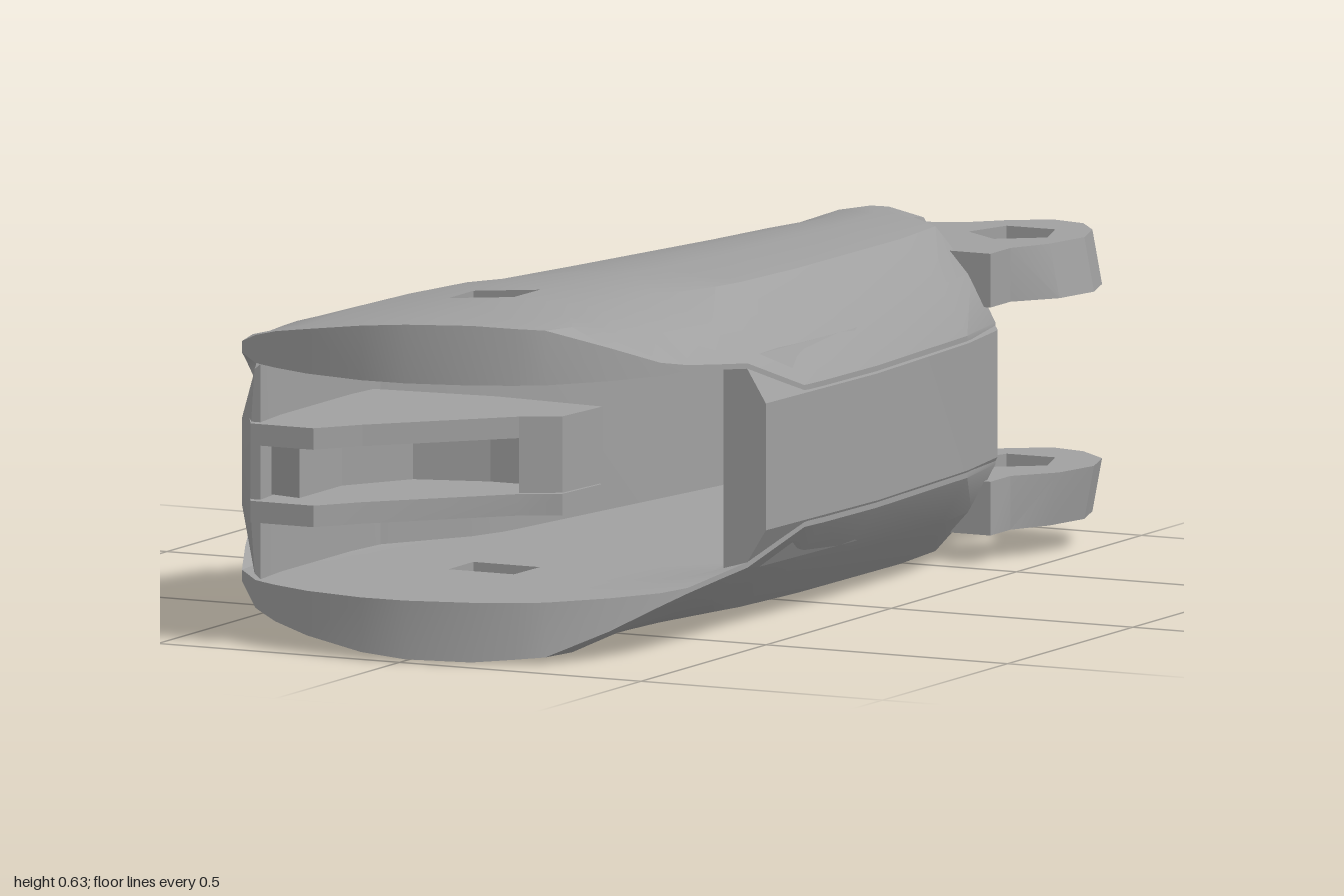
import * as THREE from 'three';
import { toCreasedNormals } from 'three/addons/utils/BufferGeometryUtils.js';

const MID = 0.318; // height of the mirror plane between upper and lower halves

// piecewise linear lookup in [[key, value], ...]
function lookup(table, k) {
  if (k <= table[0][0]) return table[0][1];
  for (let i = 1; i < table.length; i++) {
    const [a, va] = table[i - 1], [b, vb] = table[i];
    if (k <= b) return va + (vb - va) * (k - a) / (b - a);
  }
  return table[table.length - 1][1];
}

function finish(pos, crease = 0.5) {
  const g = new THREE.BufferGeometry();
  g.setAttribute('position', new THREE.Float32BufferAttribute(pos, 3));
  return toCreasedNormals(g, crease);
}

function quad(pos, a, b, c, d) {
  for (const p of [a, b, c, a, c, d]) pos.push(...p);
}

// copy reflected through the middle plane, with corner order restored
function mirrorY(geo) {
  const p = geo.index ? geo.toNonIndexed().attributes.position : geo.attributes.position;
  const out = [];
  for (let i = 0; i < p.count; i += 3)
    for (const k of [i, i + 2, i + 1]) out.push(p.getX(k), 2 * MID - p.getY(k), p.getZ(k));
  return finish(out);
}

// closed solid through convex sections [z, [[x, y], ...]], counter-clockwise from +z
function loft(sections) {
  const pos = [], rings = sections.map(([z, pts]) => pts.map(([x, y]) => [x, y, z]));
  const n = rings[0].length;
  for (let j = 0; j + 1 < rings.length; j++)
    for (let k = 0; k < n; k++) {
      const m = (k + 1) % n;
      quad(pos, rings[j][k], rings[j][m], rings[j + 1][m], rings[j + 1][k]);
    }
  const back = rings[0], front = rings[rings.length - 1];
  for (let k = 1; k + 1 < n; k++)
    pos.push(...back[0], ...back[k + 1], ...back[k], ...front[0], ...front[k], ...front[k + 1]);
  return finish(pos);
}

// plan outline in (x, z) raised from y0 to y1, with an optional hole
function slab(outline, y0, y1, hole) {
  const vec = ([x, z]) => new THREE.Vector2(x, -z);
  const shape = new THREE.Shape(outline.map(vec));
  if (hole) shape.holes.push(new THREE.Path(hole.map(vec)));
  const g = new THREE.ExtrudeGeometry(shape, { depth: y1 - y0, bevelEnabled: false });
  return g.rotateX(-Math.PI / 2).translate(0, y0, 0);
}

// domed plate: rows along z, columns across, one open cell for the pin hole
function plateGeometry() {
  const dome = [[0, 0.44], [0.04, 0.51], [0.1, 0.555], [0.24, 0.592], [0.42, 0.62], [0.6, 0.635],
    [0.8, 0.62], [0.92, 0.54], [1, 0.45]];
  const drop = [[-1, 0.06], [-0.83, 0.03], [-0.65, 0], [1, 0]];
  const ceiling = [[-0.9, 0.485], [-0.4, 0.5], [0.4, 0.52]];
  const cols = [0, 0.04, 0.1, 0.24, 0.45, 0.6, 0.8, 0.92, 1];
  // z, left x, right x, sag at left end, sag at right end
  const rows = [
    [-0.83, -0.14, 0.2, 0.16, 0.03], [-0.7, -0.17, 0.27, 0.06, 0], [-0.57, -0.2, 0.42, 0, 0],
    [-0.4, -0.245, 0.45, 0, 0], [0, -0.355, 0.47, 0, 0], [0.2, -0.41, 0.465, 0, 0],
    [0.27, -0.46, 0.46, 0, 0], [0.42, -0.5, 0.42, 0, 0], [0.52, -0.51, 0.41, 0, 0],
    [0.62, -0.5, 0.4, 0, 0], [0.75, -0.475, 0.385, 0.05, 0.05], [0.9, -0.43, 0.33, 0.1, 0.1],
    [1, -0.35, 0.25, 0.1, 0.1]];
  const top = [], low = [];
  for (const [z0, xl, xr, sl, sr] of rows) {
    const dl = z0 > 0.5 ? -0.51 : xl, dr = z0 > 0.4 ? 0.47 : xr;
    const t = [], b = [];
    for (const u of cols) {
      const x = xl + (xr - xl) * u, z = z0 - (u < 0.5 ? sl : sr) * (2 * u - 1) ** 2;
      const y = lookup(dome, (x - dl) / (dr - dl)) - lookup(drop, z);
      t.push([x, y, z]);
      b.push([x, Math.min(lookup(ceiling, z), y - 0.01), z]);
    }
    top.push(t); low.push(b);
  }
  const pos = [];
  const solid = (j, i) => j >= 0 && i >= 0 && j < rows.length - 1 && i < cols.length - 1 && !(j === 8 && i === 4);
  for (let j = 0; j < rows.length - 1; j++)
    for (let i = 0; i < cols.length - 1; i++) {
      if (!solid(j, i)) continue;
      const c = [[j, i], [j + 1, i], [j + 1, i + 1], [j, i + 1]];
      const T = c.map(([a, b]) => top[a][b]), B = c.map(([a, b]) => low[a][b]);
      quad(pos, ...T);
      quad(pos, B[3], B[2], B[1], B[0]);
      // close the edge wherever there is no neighbouring cell
      [[j, i - 1], [j + 1, i], [j, i + 1], [j - 1, i]].forEach(([a, b], k) => {
        const m = (k + 1) % 4;
        if (!solid(a, b)) quad(pos, T[k], B[k], B[m], T[m]);
      });
    }
  return finish(pos);
}

export function createModel() {
  const group = new THREE.Group();
  const grey = new THREE.MeshStandardMaterial({ color: 0xa0a0a0 });
  grey.name = 'plain grey';
  const add = (name, geo) => {
    const mesh = new THREE.Mesh(geo, grey);
    mesh.name = name;
    group.add(mesh);
  };

  // upper and lower domed plates
  const plate = plateGeometry();
  add('upperPlate', plate);
  add('lowerPlate', mirrorY(plate));

  // long side wall: z, outer x, inner x
  const longWall = [[-1, -0.14, -0.11], [-0.93, -0.165, -0.08], [-0.77, -0.205, -0.03], [-0.7, -0.175, -0.03],
    [-0.4, -0.245, -0.06], [0.2, -0.41, -0.2], [0.27, -0.46, -0.23], [0.42, -0.5, -0.34],
    [0.52, -0.51, -0.35], [0.68, -0.485, -0.35], [0.8, -0.43, -0.35], [0.9, -0.36, -0.34]];
  add('longSideWall', loft(longWall.map(([z, xo, xi]) => {
    const s = xo + Math.min(0.04, (xi - xo) * 0.4);
    const h = lookup([[-1, 0.16], [-0.8, 0.18], [0.4, 0.2]], z);
    return [z, [[xi, MID - h], [xi, MID + h], [s, MID + h - 0.01], [xo, MID + 0.08],
      [xo, MID - 0.08], [s, MID - h + 0.01]]];
  })));

  // short side wall, open ahead of and behind it
  const shortWall = [[-0.57, 0.425, 0.35], [-0.4, 0.452, 0.365], [0, 0.472, 0.37], [0.42, 0.458, 0.37]];
  add('shortSideWall', loft(shortWall.map(([z, xo, xi]) => [z, [[xo - 0.05, 0.12], [xo, 0.2], [xo, 0.436],
    [xo - 0.05, 0.516], [xi, 0.516], [xi, 0.12]]])));

  // rear hinge ears with pin holes
  const hole = [];
  for (let k = 0; k < 5; k++) {
    const a = k * Math.PI * 0.4 + 0.3;
    hole.push([0.34 + 0.085 * Math.cos(a), -0.8 + 0.085 * Math.sin(a)]);
  }
  const ear = slab([[0.08, -0.55], [0.42, -0.55], [0.42, -0.63], [0.48, -0.71], [0.5, -0.81], [0.47, -0.9],
    [0.4, -0.96], [0.33, -0.975], [0.26, -0.93], [0.2, -0.87], [0.08, -0.82]], 0.48, 0.58, hole);
  // taper the outer face inward a little
  const p = ear.attributes.position;
  for (let i = 0; i < p.count; i++)
    if (p.getY(i) > 0.5 && p.getX(i) > 0.44) p.setX(i, p.getX(i) - 0.02);
  const earGeo = finish(Array.from(ear.toNonIndexed ? (ear.index ? ear.toNonIndexed() : ear).attributes.position.array : []), 0.3);
  add('upperHingeEar', earGeo);
  add('lowerHingeEar', mirrorY(earGeo));

  // inner bracket: two prongs joined by a recessed core
  const prong = slab([[-0.42, 0.45], [-0.4, 0.83], [-0.35, 0.92], [-0.22, 0.92], [-0.16, 0.84], [0.05, 0.62],
    [0.12, 0.58], [0.13, 0.44], [-0.1, 0.42]], 0.37, 0.41);
  add('upperProng', prong);
  add('lowerProng', mirrorY(prong));
  add('bracketCore', slab([[-0.42, 0.45], [-0.4, 0.83], [-0.28, 0.86], [-0.28, 0.69], [-0.2, 0.56], [-0.06, 0.52],
    [0.05, 0.52], [0.05, 0.62], [0.12, 0.58], [0.13, 0.44], [-0.1, 0.42]], 0.268, 0.372));

  return group;
}
